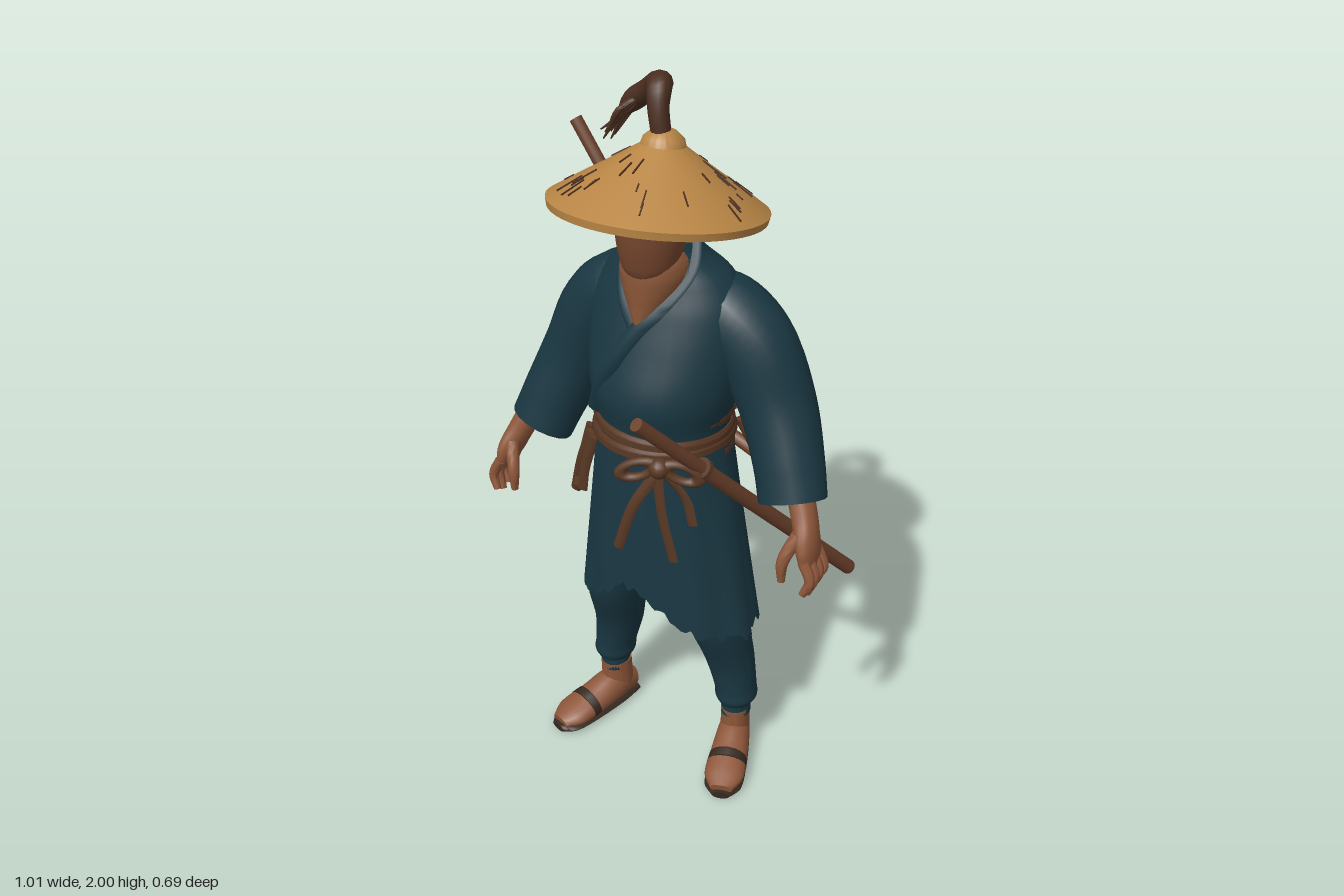
import * as THREE from 'three';
import { toCreasedNormals } from 'three/addons/utils/BufferGeometryUtils.js';

const V = (x, y, z) => new THREE.Vector3(x, y, z);
const X = V(1, 0, 0);

export function createModel() {
  const root = new THREE.Group();
  const paint = (name, color, side = THREE.FrontSide) => {
    const m = new THREE.MeshStandardMaterial({ color, side });
    m.name = name;
    return m;
  };
  const teal = paint('teal cloth', 0x1a3742, THREE.DoubleSide);
  const straw = paint('straw', 0xb88545);
  const skin = paint('skin', 0x8e573a);
  const scarfBrown = paint('scarf brown', 0x885536);
  const maskBrown = paint('mask brown', 0x76462e);
  const leather = paint('belt brown', 0x5a3925);
  const wood = paint('wood', 0x6b412b);
  const hairBrown = paint('plume brown', 0x4b2e20);
  const dark = paint('dark sole', 0x35281f);

  const add = (geo, mat, name, parent = root) => {
    const m = new THREE.Mesh(geo, mat);
    m.name = name;
    parent.add(m);
    return m;
  };

  // Surface from a grid of points: f(i, j) for rows i and columns j
  function grid(rows, cols, f) {
    const pos = [], idx = [];
    for (let i = 0; i <= rows; i++)
      for (let j = 0; j <= cols; j++) pos.push(...f(i, j).toArray());
    for (let i = 0; i < rows; i++)
      for (let j = 0; j < cols; j++) {
        const a = i * (cols + 1) + j, b = a + cols + 1;
        idx.push(a, b, a + 1, b, b + 1, a + 1);
      }
    const g = new THREE.BufferGeometry();
    g.setAttribute('position', new THREE.Float32BufferAttribute(pos, 3));
    g.setIndex(idx);
    return toCreasedNormals(g, 0.9);
  }

  // Closed body swept through sections [x, y, z, radiusU, radiusV].
  // level keeps rings horizontal, otherwise they follow the path.
  function sweep(secs, { level = false, ref = X, cols = 20, per = 5 } = {}) {
    const path = new THREE.CatmullRomCurve3(secs.map(s => V(s[0], s[1], s[2])));
    const radii = new THREE.CatmullRomCurve3(secs.map(s => V(s[3], s[4], 0)), false, 'catmullrom');
    const n = (secs.length - 1) * per;
    const rings = [];
    for (let i = 0; i <= n; i++) {
      const t = i / n, c = path.getPoint(t), r = radii.getPoint(t), d = path.getTangent(t);
      if (level) d.set(0, Math.sign(d.y) || 1, 0);
      const u = ref.clone().addScaledVector(d, -ref.dot(d)).normalize();
      rings.push({ c, r, u, v: u.clone().cross(d) });
    }
    return grid(n + 2, cols, (i, j) => {
      const k = rings[Math.min(n, Math.max(0, i - 1))], a = j / cols * Math.PI * 2;
      const e = i === 0 || i === n + 2 ? 0 : 1;
      return k.c.clone().addScaledVector(k.u, e * k.r.x * Math.cos(a))
        .addScaledVector(k.v, e * k.r.y * Math.sin(a));
    });
  }

  const body = (name, mat, secs, parent) => add(sweep(secs, { level: true, cols: 32 }), mat, name, parent);
  const limb = (name, mat, secs, parent) => add(sweep(secs, { cols: 16 }), mat, name, parent);
  const ribbon = (name, mat, pts, w, t) =>
    add(sweep(pts.map(p => [...p, w, t]), { cols: 8 }), mat, name);

  function rod(name, mat, a, b, r) {
    const p = V(...a), q = V(...b), d = q.clone().sub(p);
    const m = add(new THREE.CylinderGeometry(r, r, d.length(), 14), mat, name);
    m.position.copy(p).lerp(q, 0.5);
    m.quaternion.setFromUnitVectors(V(0, 1, 0), d.normalize());
    return m;
  }

  let seed = 7;
  const rnd = () => (seed = (seed * 16807) % 2147483647) / 2147483647;

  // Robe: upper body
  body('robeTorso', teal, [
    [0, 1.0, 0.03, 0.18, 0.165], [0, 1.12, 0.03, 0.178, 0.168], [0, 1.22, 0.025, 0.2, 0.185],
    [0, 1.35, 0.005, 0.215, 0.165], [0, 1.45, -0.005, 0.205, 0.14], [0, 1.52, -0.005, 0.165, 0.115],
    [0, 1.57, 0.01, 0.105, 0.088], [0, 1.62, 0.03, 0.075, 0.068]]);
  ribbon('outerLapel', teal, [[0.075, 1.62, 0.015], [0.09, 1.55, 0.06], [0.05, 1.47, 0.13], [0, 1.41, 0.162],
    [-0.08, 1.28, 0.183], [-0.14, 1.14, 0.145]], 0.022, 0.009);
  ribbon('innerLapel', teal, [[-0.075, 1.62, 0.015], [-0.09, 1.55, 0.06], [-0.055, 1.47, 0.125],
    [-0.01, 1.41, 0.155]], 0.02, 0.009);

  // Robe: skirt with a torn hem, and the overlapping front panel
  function skirt(name, a0, a1, off, hem) {
    const cols = 110;
    add(grid(14, cols, (i, j) => {
      const a = a0 + (a1 - a0) * j / cols;
      const torn = 0.008 * Math.sin(a * 23) + 0.007 * Math.sin(a * 41 + 1);
      const y = THREE.MathUtils.lerp(1.09, hem(a) + torn, i / 14);
      const k = (1.09 - y) / 0.54, fold = 1 + 0.015 * k * Math.sin(a * 11);
      return V(0.015 * k + Math.sin(a) * ((0.178 + 0.08 * k) * fold + off), y,
        0.03 + Math.cos(a) * ((0.168 + 0.012 * k) * fold + off));
    }), teal, name);
  }
  skirt('skirt', -Math.PI, Math.PI, 0, a =>
    0.54 - 0.025 * Math.max(0, Math.sin(a)) + 0.12 * Math.exp(-Math.pow((a + 0.05) / 0.45, 2)));
  skirt('skirtOverlap', -0.75, 1.45, 0.012, a => 0.74 - 0.11 * (a + 0.75));
  ribbon('liningFlap', maskBrown, [[-0.02, 0.75, -0.1], [-0.01, 0.64, -0.115], [0.02, 0.53, -0.12]], 0.05, 0.006);

  for (const s of [1, -1]) {
    const side = s > 0 ? 'left' : 'right';
    const m = secs => secs.map(p => [p[0] * s, ...p.slice(1)]);

    // Sleeve, hand and fingers
    limb(side + 'Sleeve', teal, m([[0.07, 1.465, -0.02, 0.05, 0.06], [0.14, 1.435, -0.025, 0.088, 0.098],
      [0.22, 1.35, -0.032, 0.108, 0.106], [0.295, 1.2, -0.028, 0.1, 0.102],
      [0.355, 1.06, 0.012, 0.092, 0.09], [0.385, 0.975, 0.042, 0.09, 0.08]]));
    limb(side + 'Hand', skin, m([[0.4, 1.03, 0.045, 0.034, 0.038], [0.437, 0.95, 0.075, 0.033, 0.042],
      [0.46, 0.89, 0.097, 0.027, 0.053], [0.47, 0.845, 0.1, 0.018, 0.046]]));
    for (let f = 0; f < 4; f++) {
      const z = 0.06 + f * 0.026, d = 0.012 * Math.abs(f - 1.8);
      limb(side + 'Finger', skin, m([[0.467, 0.87, z, 0.015, 0.015], [0.49, 0.82, z + 0.004, 0.014, 0.014],
        [0.475, 0.765 + d, z + 0.012, 0.01, 0.01]]));
    }
    limb(side + 'Thumb', skin, m([[0.44, 0.93, 0.115, 0.019, 0.019], [0.415, 0.86, 0.148, 0.016, 0.016],
      [0.414, 0.8, 0.15, 0.01, 0.01]]));

    // Trouser leg with gathered cuff
    body(side + 'Trouser', teal, m([[0.1, 0.9, 0.02, 0.1, 0.12], [0.13, 0.7, 0.02, 0.095, 0.11],
      [0.163, 0.5, 0.02, 0.084, 0.095], [0.185, 0.34, -0.018, 0.071, 0.072],
      [0.203, 0.24, -0.025, 0.06, 0.064], [0.207, 0.205, -0.025, 0.06, 0.064], [0.207, 0.185, -0.025, 0.05, 0.055]]));
    body(side + 'AnkleWrap', teal, m([[0.207, 0.22, -0.025, 0.04, 0.045], [0.207, 0.14, -0.025, 0.042, 0.047]]));

    // Foot and sandal
    const foot = new THREE.Group();
    foot.name = side + 'Foot';
    foot.position.set(0.207 * s, 0, -0.02);
    foot.rotation.y = 0.32 * s;
    root.add(foot);
    body('ankle', skin, [[0, 0.16, -0.005, 0.042, 0.048], [0, 0.06, -0.01, 0.042, 0.05]], foot);
    limb('footTop', skin, [[0, 0.05, -0.065, 0.03, 0.035], [0, 0.062, 0, 0.046, 0.054],
      [0, 0.047, 0.09, 0.054, 0.042], [0, 0.035, 0.17, 0.056, 0.027], [0, 0.028, 0.215, 0.032, 0.016]], foot);
    limb('sole', dark, [[0, 0.012, -0.075, 0.028, 0.012], [0, 0.012, 0, 0.045, 0.012],
      [0, 0.012, 0.12, 0.055, 0.012], [0, 0.012, 0.19, 0.052, 0.012], [0, 0.012, 0.225, 0.025, 0.011]], foot);
    limb('sandalStrap', dark, [[0, 0.046, 0.1, 0.055, 0.044], [0, 0.042, 0.125, 0.057, 0.04]], foot);

    // Eye and brow
    const eye = add(new THREE.BoxGeometry(0.026, 0.007, 0.008), dark, side + 'Eye');
    eye.position.set(0.032 * s, 1.692, 0.173);
    eye.rotation.y = 0.3 * s;
    const brow = add(new THREE.BoxGeometry(0.036, 0.008, 0.008), hairBrown, side + 'Brow');
    brow.position.set(0.032 * s, 1.71, 0.174);
    brow.rotation.set(0, 0.3 * s, 0.15 * s);
  }

  // Head, hair, mask and neck scarf
  body('head', skin, [[0, 1.5, 0.03, 0.06, 0.065], [0, 1.56, 0.055, 0.065, 0.085], [0, 1.62, 0.072, 0.075, 0.1],
    [0, 1.7, 0.075, 0.08, 0.105], [0, 1.76, 0.07, 0.07, 0.09], [0, 1.8, 0.07, 0.03, 0.04]]);
  body('hair', hairBrown, [[0, 1.65, 0.035, 0.07, 0.068], [0, 1.71, 0.04, 0.083, 0.08], [0, 1.78, 0.05, 0.06, 0.075]]);
  body('mask', maskBrown, [[0, 1.53, 0.09, 0.045, 0.06], [0, 1.56, 0.092, 0.068, 0.076], [0, 1.62, 0.094, 0.081, 0.087],
    [0, 1.678, 0.097, 0.083, 0.088]]);
  body('scarf', scarfBrown, [[0, 1.405, 0.14, 0.008, 0.026], [0, 1.47, 0.095, 0.056, 0.068],
    [0, 1.53, 0.07, 0.086, 0.093], [0, 1.57, 0.065, 0.087, 0.093], [0, 1.595, 0.065, 0.075, 0.082]]);

  // Straw hat, tilted back, with frayed straws above and ribs below
  const hat = new THREE.Group();
  hat.name = 'hat';
  hat.position.set(0, 1.7, 0.057);
  hat.rotation.x = -0.17;
  root.add(hat);
  const profile = [[0, 0.145], [0.06, 0.11], [0.255, -0.012], [0.266, -0.015], [0.27, 0.004], [0.2, 0.05],
    [0.12, 0.1], [0.055, 0.143], [0.05, 0.16], [0.03, 0.178], [0.001, 0.188]];
  add(toCreasedNormals(new THREE.LatheGeometry(profile.map(p => new THREE.Vector2(...p)), 56), 0.7), straw, 'hatCone', hat);
  const strip = (name, mat, a, r, y, len) => {
    const m = add(new THREE.BoxGeometry(0.003, 0.004, len), mat, name, hat);
    m.position.set(r * Math.sin(a), y, r * Math.cos(a));
    m.rotation.set(0.565, a + (rnd() - 0.5) * 0.2, 0, 'YXZ');
  };
  for (let i = 0; i < 44; i++) {
    const r = 0.1 + 0.13 * rnd();
    strip('frayedStraw', hairBrown, rnd() * 6.28, r, 0.178 - 0.636 * r, 0.02 + 0.05 * rnd());
  }
  for (let i = 0; i < 28; i++) strip('hatRib', leather, i * 0.2244, 0.18, 0.034, 0.13);

  // Plume on the hat, ending in loose strands
  const bend = { ref: V(0.85, 0, -0.5), cols: 12 };
  add(sweep([[0, 1.86, 0.04, 0.024, 0.024], [-0.012, 1.93, 0.035, 0.026, 0.026], [-0.022, 1.968, 0.015, 0.031, 0.03],
    [-0.045, 1.965, -0.025, 0.032, 0.03], [-0.09, 1.935, -0.05, 0.029, 0.028], [-0.135, 1.9, -0.052, 0.029, 0.022],
    [-0.17, 1.86, -0.045, 0.008, 0.01]], bend), hairBrown, 'plume');
  for (let i = 0; i < 14; i++) {
    const z = -0.085 + 0.006 * i, e = rnd();
    add(sweep([[-0.1, 1.925, -0.05, 0.008, 0.008], [-0.15, 1.885 - 0.015 * e, z, 0.008, 0.007],
      [-0.17 - 0.035 * e, 1.85 - 0.055 * rnd(), z + 0.012, 0.002, 0.002]], { ...bend, cols: 6 }), hairBrown, 'plumeStrand');
  }

  // Wrapped belt with bow, loose tails and back strap
  for (const [y, r, tilt] of [[1.05, 0.188, 0.03], [1.08, 0.193, -0.02], [1.11, 0.188, 0.06]]) {
    const b = body('beltWrap', leather, [[0, -0.02, 0, r - 0.008, r - 0.016], [0, 0, 0, r, r - 0.008], [0, 0.02, 0, r - 0.008, r - 0.016]]);
    b.position.set(0, y, 0.03);
    b.rotation.z = -tilt;
  }
  const knot = add(new THREE.SphereGeometry(0.028, 14, 10), leather, 'beltKnot');
  knot.position.set(0.09, 1.065, 0.208);
  for (const s of [1, -1]) {
    const loop = add(new THREE.TorusGeometry(0.034, 0.015, 8, 20), leather, 'bowLoop');
    loop.position.set(0.09 + 0.055 * s, 1.055, 0.205 - 0.02 * s);
    loop.scale.set(1.3, 0.65, 1);
    loop.rotation.set(0, 0.4, -0.35 * s);
  }
  const tails = [
    [[0.085, 1.05, 0.215], [0.03, 0.95, 0.235], [-0.02, 0.8, 0.235]],
    [[0.09, 1.05, 0.215], [0.1, 0.94, 0.215], [0.13, 0.79, 0.205]],
    [[0.1, 1.05, 0.2], [0.15, 0.98, 0.18], [0.17, 0.9, 0.175]],
    [[-0.15, 1.07, 0.15], [-0.19, 0.97, 0.14], [-0.235, 0.84, 0.11]],
    [[-0.17, 1.07, 0.12], [-0.2, 0.98, 0.11], [-0.215, 0.87, 0.13]],
    [[-0.13, 1.07, 0.17], [-0.165, 0.96, 0.165], [-0.175, 0.89, 0.165]]];
  for (const t of tails) ribbon('beltTail', leather, t, 0.015, 0.007);
  body('waistCord', leather, [[0, 1.135, 0.02, 0.181, 0.175], [0, 1.15, 0.02, 0.186, 0.18], [0, 1.165, 0.02, 0.186, 0.176]]);

  // Long sword at the left hip
  const tip = [0.1, 1.26, 0.33], end = [0.4, 0.53, -0.33];
  const along = t => tip.map((v, i) => v + (end[i] - v) * t);
  rod('hipSwordHandle', wood, tip, along(0.27), 0.018);
  rod('hipSwordGuard', leather, along(0.265), along(0.28), 0.03);
  rod('hipSwordSheath', wood, along(0.27), end, 0.021);

  // Sword slung across the back, with its knots
  rod('backSwordSheath', wood, [0.11, 1.06, -0.163], [-0.3, 1.65, -0.163], 0.012);
  rod('backSwordHandle', wood, [-0.29, 1.64, -0.165], [-0.385, 1.775, -0.17], 0.017);
  for (const [x, y] of [[-0.14, 1.42], [0.07, 1.12]])
    add(new THREE.SphereGeometry(0.024, 12, 10), leather, 'backKnot').position.set(x, y, -0.16);

  // Short sword and crossbar behind the waist
  rod('shortSword', wood, [0.02, 1.07, -0.15], [-0.31, 0.77, -0.12], 0.021);
  ribbon('waistBar', wood, [[0.31, 0.885, -0.145], [0.12, 0.965, -0.16], [-0.08, 1.035, -0.155],
    [-0.255, 1.08, -0.135]], 0.018, 0.018);
  ribbon('waistBarTie', leather, [[0.16, 1.08, -0.09], [0.19, 1.0, -0.11], [0.2, 0.93, -0.14]], 0.016, 0.012);

  return root;
}
